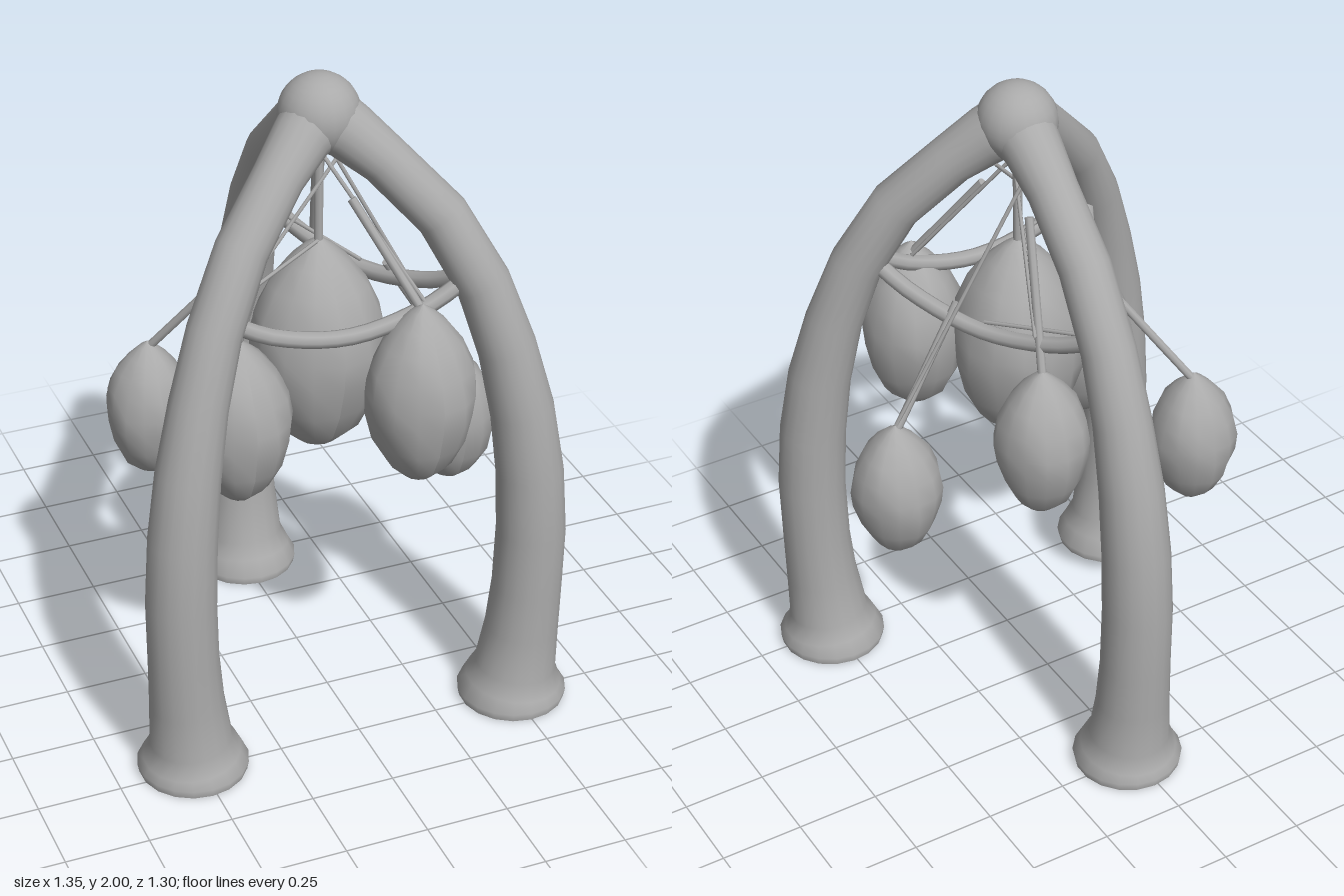
import * as THREE from 'three';

const HUB_Z = 0.165;
const V = (a) => new THREE.Vector3(...a);

export function createModel() {
  const model = new THREE.Group();
  model.name = 'podTripod';
  const clay = new THREE.MeshStandardMaterial({ color: 0xaaaaaa });
  clay.name = 'clay grey';

  const add = (name, geometry, parent = model) => {
    const mesh = new THREE.Mesh(geometry, clay);
    mesh.name = name;
    parent.add(mesh);
    return mesh;
  };

  // Straight rod between two points
  const rod = (name, from, to, radius, sides = 8) => {
    const a = V(from), b = V(to);
    const dir = b.clone().sub(a);
    const mesh = add(name, new THREE.CylinderGeometry(radius, radius, dir.length(), sides));
    mesh.position.copy(a).add(b).multiplyScalar(0.5);
    mesh.quaternion.setFromUnitVectors(new THREE.Vector3(0, 1, 0), dir.normalize());
  };

  // Curved legs: distance from the hub axis, height, radius
  const legPath = [
    [0.645, 0, 0.16], [0.645, 0.025, 0.165], [0.65, 0.06, 0.145], [0.655, 0.11, 0.122],
    [0.67, 0.25, 0.11], [0.68, 0.4, 0.104], [0.685, 0.6, 0.103], [0.672, 0.8, 0.1],
    [0.64, 1.0, 0.094], [0.585, 1.2, 0.085], [0.505, 1.4, 0.079], [0.375, 1.6, 0.076],
    [0.2, 1.755, 0.074], [0.09, 1.835, 0.085], [0, 1.88, 0.1],
  ];
  const legGeometry = (scale) => {
    const sides = 18, positions = [], indices = [];
    legPath.forEach(([r, y, rad], i) => {
      const p = legPath[Math.max(i - 1, 0)];
      const n = legPath[Math.min(i + 1, legPath.length - 1)];
      const t = new THREE.Vector2((n[0] - p[0]) * scale, n[1] - p[1]).normalize();
      if (i < 2) t.set(0, 1);
      for (let j = 0; j < sides; j++) {
        const a = (j / sides) * Math.PI * 2;
        const out = Math.cos(a) * rad;
        positions.push(r * scale + t.y * out, y - t.x * out, Math.sin(a) * rad);
        if (i < legPath.length - 1) {
          const k = i * sides + j, l = i * sides + ((j + 1) % sides);
          indices.push(k, k + sides, l, l, k + sides, l + sides);
        }
      }
    });
    const geometry = new THREE.BufferGeometry();
    geometry.setAttribute('position', new THREE.Float32BufferAttribute(positions, 3));
    geometry.setIndex(indices);
    geometry.computeVertexNormals();
    return geometry;
  };
  const legs = [
    ['backLeg', 0.015, -1, 1], ['leftLeg', 0.84, 0.54, 0.93], ['rightLeg', -0.86, 0.51, 0.93],
  ];
  for (const [name, dx, dz, scale] of legs) {
    const leg = new THREE.Group();
    leg.name = name;
    leg.position.z = HUB_Z;
    leg.rotation.y = Math.atan2(-dz, dx);
    add('legShaft', legGeometry(scale), leg);
    const sole = add('footSole', new THREE.CircleGeometry(0.16, 18), leg);
    sole.rotation.x = Math.PI / 2;
    sole.position.x = 0.645 * scale;
    model.add(leg);
  }

  // Rounded hub where the legs meet
  const hub = add('hub', new THREE.SphereGeometry(0.118, 20, 14));
  hub.position.set(0, 1.882, HUB_Z);

  // Sagging braces between the legs
  const corners = [[0, 1.42, -0.32], [0.37, 1.43, 0.41], [-0.37, 1.42, 0.4]];
  corners.forEach((a, i) => {
    const b = corners[(i + 1) % 3];
    const points = [0, 0.2, 0.5, 0.8, 1].map((t) => {
      const p = V(a).lerp(V(b), t);
      p.y -= 0.125 * 4 * t * (1 - t);
      return p;
    });
    add('brace', new THREE.TubeGeometry(new THREE.CatmullRomCurve3(points), 16, 0.025, 8));
  });

  // Pointed pods with slightly uneven skins: x, z, bottom, top, radius
  const podProfile = [
    [0, 0], [0.3, 0.02], [0.6, 0.1], [0.85, 0.24], [0.98, 0.4], [1, 0.52],
    [0.92, 0.66], [0.72, 0.79], [0.45, 0.89], [0.2, 0.96], [0, 1],
  ].map(([r, y]) => new THREE.Vector2(r, y));
  const pods = [
    ['centrePod', 0, 0.165, 0.83, 1.5, 0.198],
    ['frontPod', 0.195, 0.455, 0.83, 1.39, 0.16],
    ['rightPod', -0.28, 0.25, 0.75, 1.27, 0.155],
    ['backPod', 0.12, -0.17, 0.79, 1.27, 0.14],
    ['lowLeftPod', 0.445, 0.12, 0.58, 1.02, 0.135],
    ['lowRightPod', -0.405, -0.165, 0.63, 1.07, 0.13],
  ];
  pods.forEach(([name, x, z, bottom, top, radius], n) => {
    const geometry = new THREE.LatheGeometry(podProfile, 14);
    const pos = geometry.attributes.position;
    for (let i = 0; i < pos.count; i++) {
      const px = pos.getX(i), py = pos.getY(i), pz = pos.getZ(i);
      const a = Math.atan2(pz, px);
      const bump = 1 + 0.035 * Math.sin(3 * a + 7 * py + n) + 0.02 * Math.sin(5 * a - 11 * py);
      pos.setXYZ(i, px * bump * radius, py * (top - bottom), pz * bump * radius);
    }
    geometry.computeVertexNormals();
    add(name, geometry).position.set(x, bottom, z);
  });

  // Stems holding the pods
  rod('stem', [0, 1.82, 0.165], [0, 1.47, 0.165], 0.014);
  rod('stem', [0.06, 1.65, 0.26], [0.2, 1.36, 0.44], 0.013);
  rod('stem', [-0.14, 1.65, 0.22], [-0.28, 1.25, 0.25], 0.013);
  rod('stem', [0.06, 1.67, 0], [0.12, 1.25, -0.17], 0.013);
  rod('stem', [0.22, 1.36, 0.14], [0.44, 1.0, 0.12], 0.013);
  rod('stem', [-0.2, 1.35, 0], [-0.4, 1.05, -0.165], 0.013);

  // Thin guy wires
  rod('wire', [0.05, 1.77, 0.04], [0.44, 1.02, 0.12], 0.006, 6);
  rod('wire', [0.07, 1.76, 0.17], [-0.28, 1.38, 0.24], 0.006, 6);
  rod('wire', [0.02, 1.77, 0.15], [0.12, 1.36, -0.13], 0.006, 6);
  rod('wire', [0, 1.77, 0.17], [0.22, 1.37, 0.41], 0.006, 6);
  rod('wire', [-0.32, 1.46, 0.36], [0, 1.49, 0.17], 0.006, 6);
  rod('wire', [0, 1.4, -0.27], [0.18, 1.33, 0.05], 0.006, 6);

  return model;
}
